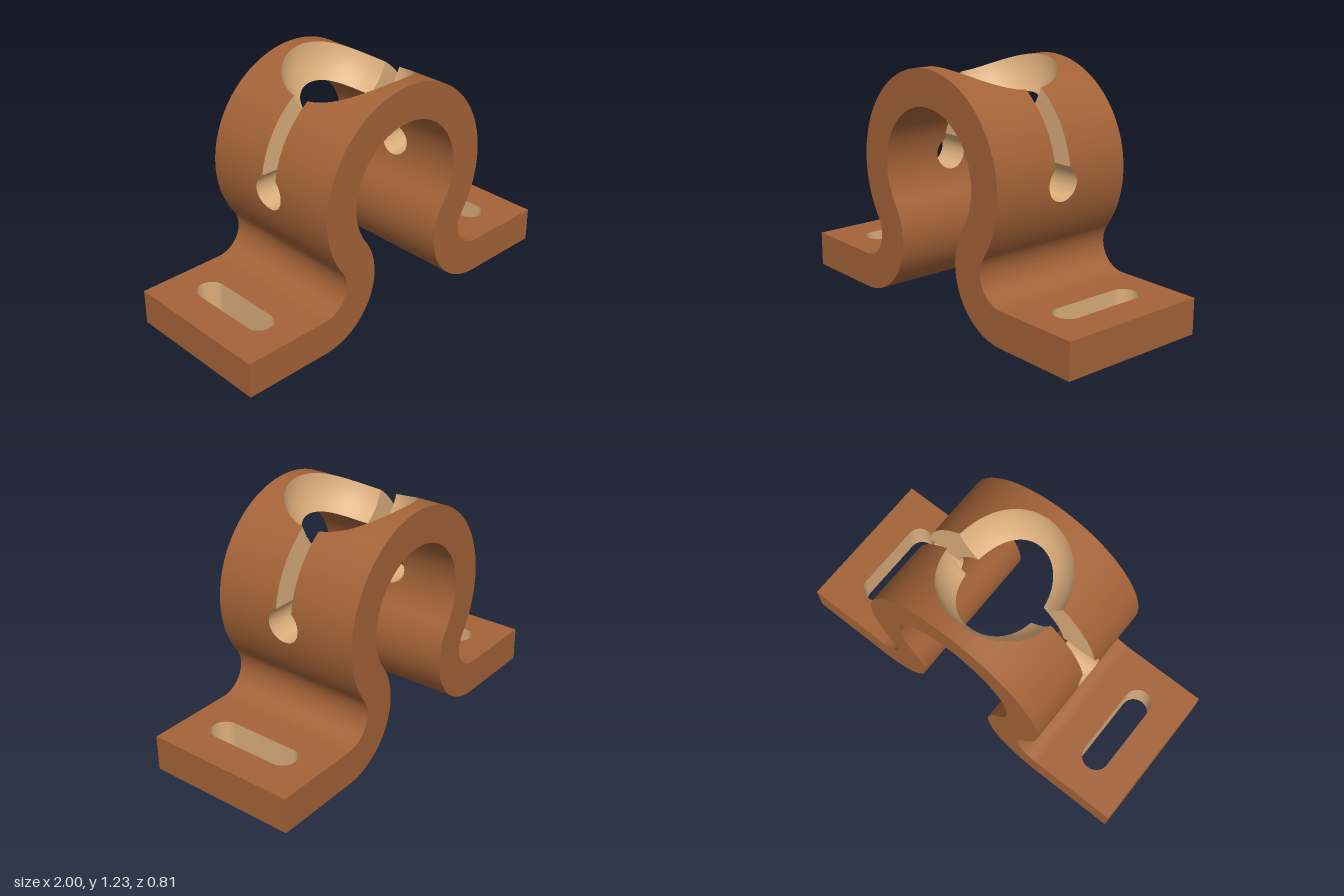
import * as THREE from 'three';
import { toCreasedNormals } from 'three/addons/utils/BufferGeometryUtils.js';

// Main dimensions
const HALF_DEPTH = 0.405;
const ARCH = { y: 0.71, outer: 0.521, inner: 0.336 };
const BEND = { y: 0.325, outer: 0.14, inner: 0.325 };
BEND.x = Math.sqrt((ARCH.outer + BEND.outer) ** 2 - (ARCH.y - BEND.y) ** 2);
const FOOT_TOP = BEND.inner - BEND.outer;
const SEAT = { y: 1.24, r: 0.327 };                // spherical opening in the crown
const SLIT = 0.047;                                // half width of the slit
const KEY = 0.088;                                 // radius of the round slit ends
const SLOT = { x: 0.757, r: 0.072, half: 0.257 };  // slots in the feet
const WALL_ROWS = 10;

const root = (v) => Math.sqrt(Math.max(0, v));

// Half width, along z, of the material cut away at a point of the side profile
function cutWidth(x, y) {
  if (y < 0.25) {
    const dx = x - SLOT.x;
    return Math.abs(dx) > SLOT.r + 1e-6 ? 0 : SLOT.half - SLOT.r + root(SLOT.r ** 2 - dx * dx);
  }
  return Math.max(
    root(SEAT.r ** 2 - x * x - (y - SEAT.y) ** 2),
    root(KEY ** 2 - (y - ARCH.y) ** 2),
    y > ARCH.y ? SLIT : 0
  );
}

// Stations along half of the strap: outer point, inner point, cut widths between
function buildStations() {
  const list = [];
  const add = (p, q, part, solid = false) => {
    const row = [];
    for (let k = 0; k <= WALL_ROWS; k++) {
      const t = k / WALL_ROWS;
      const x = p[0] + (q[0] - p[0]) * t;
      const y = p[1] + (q[1] - p[1]) * t;
      row.push([x, y, solid ? 0 : cutWidth(x, y)]);
    }
    list.push({ row, part });
  };
  const polar = (cx, cy, r, a) => [cx + r * Math.cos(a), cy + r * Math.sin(a)];
  const foot = (x, solid) => add([x, FOOT_TOP], [x, 0], 'mountingSlots', solid);
  const arch = (a, b) =>
    add(polar(0, ARCH.y, ARCH.outer, a), polar(0, ARCH.y, ARCH.inner, b), 'archOpening');

  // Flat foot with its slot
  foot(1, true);
  foot(SLOT.x + SLOT.r, true);
  for (let i = 0; i <= 24; i++) foot(SLOT.x + SLOT.r * Math.cos((i / 24) * Math.PI), false);
  foot(SLOT.x - SLOT.r, true);

  // Bend from foot to arch
  const lean = Math.atan2(ARCH.y - BEND.y, BEND.x);
  for (let i = 0; i <= 40; i++) {
    const a = 1.5 * Math.PI + (Math.PI - lean - 1.5 * Math.PI) * (i / 40);
    add(polar(BEND.x, BEND.y, BEND.outer, a), polar(BEND.x, BEND.y, BEND.inner, a), 'archOpening', true);
  }

  // Solid lower arch, round slit end, then the slit and crown
  const lowA = Math.asin(-KEY / ARCH.outer), lowB = Math.asin(-KEY / ARCH.inner);
  for (let i = 1; i < 12; i++) {
    const t = i / 12;
    arch(-lean + (lowA + lean) * t, -lean + (lowB + lean) * t);
  }
  const end = Math.PI - Math.asin(SLIT / KEY);
  let a = 0, b = 0;
  for (let i = 0; i <= 24; i++) {
    const dy = -KEY * Math.cos((end * i) / 24);
    a = Math.asin(dy / ARCH.outer);
    b = Math.asin(dy / ARCH.inner);
    arch(a, b);
  }
  for (let i = 1; i <= 130; i++) {
    const t = i / 130;
    arch(a + (Math.PI / 2 - a) * t, b + (Math.PI / 2 - b) * t);
  }
  return list;
}

// Collects quads and mirrors each of them across x and z
function quadCollector() {
  const pos = [];
  const ab = new THREE.Vector3(), ac = new THREE.Vector3();
  const tri = (p, q, r) => {
    ab.set(q[0] - p[0], q[1] - p[1], q[2] - p[2]);
    ac.set(r[0] - p[0], r[1] - p[1], r[2] - p[2]);
    if (ab.cross(ac).length() > 1e-10) pos.push(...p, ...q, ...r);
  };
  return {
    quad(...corners) {
      for (const sx of [1, -1]) for (const sz of [1, -1]) {
        const c = corners.map(([x, y, z]) => [x * sx, y, z * sz]);
        if (sx * sz < 0) c.reverse();
        tri(c[0], c[1], c[2]);
        tri(c[0], c[2], c[3]);
      }
    },
    mesh(name, material) {
      const geo = new THREE.BufferGeometry();
      geo.setAttribute('position', new THREE.Float32BufferAttribute(pos, 3));
      const mesh = new THREE.Mesh(toCreasedNormals(geo, 0.5), material);
      mesh.name = name;
      return mesh;
    },
  };
}

export function createModel() {
  const copper = new THREE.MeshStandardMaterial({ color: 0xa46338 });
  copper.name = 'copper brown';
  const tan = new THREE.MeshStandardMaterial({ color: 0xdcae7c });
  tan.name = 'cut tan';

  const strap = quadCollector();
  const cuts = { mountingSlots: quadCollector(), archOpening: quadCollector() };
  const stations = buildStations();
  const atEdge = ([x, y]) => [x, y, HALF_DEPTH];
  const atMiddle = ([x, y]) => [x, y, 0];

  for (let i = 0; i + 1 < stations.length; i++) {
    const s = stations[i].row, n = stations[i + 1].row;
    const p = s[0], q = s[WALL_ROWS], p2 = n[0], q2 = n[WALL_ROWS];
    strap.quad(p, p2, atEdge(p2), atEdge(p));                  // outer skin
    strap.quad(q, atEdge(q), atEdge(q2), q2);                  // inner skin
    strap.quad(atEdge(p), atEdge(p2), atEdge(q2), atEdge(q));  // front and back
    // Walls of the openings
    for (let k = 0; k < WALL_ROWS; k++) {
      const wall = [s[k], s[k + 1], n[k + 1], n[k]];
      if (wall.some((v) => v[2] > 1e-6)) cuts[stations[i].part].quad(...wall);
    }
  }
  // End faces of the feet
  const first = stations[0].row, top = first[0], bottom = first[WALL_ROWS];
  strap.quad(atMiddle(top), atEdge(top), atEdge(bottom), atMiddle(bottom));

  const group = new THREE.Group();
  group.name = 'clampBracket';
  group.add(strap.mesh('strap', copper));
  for (const [name, part] of Object.entries(cuts)) group.add(part.mesh(name, tan));
  return group;
}
